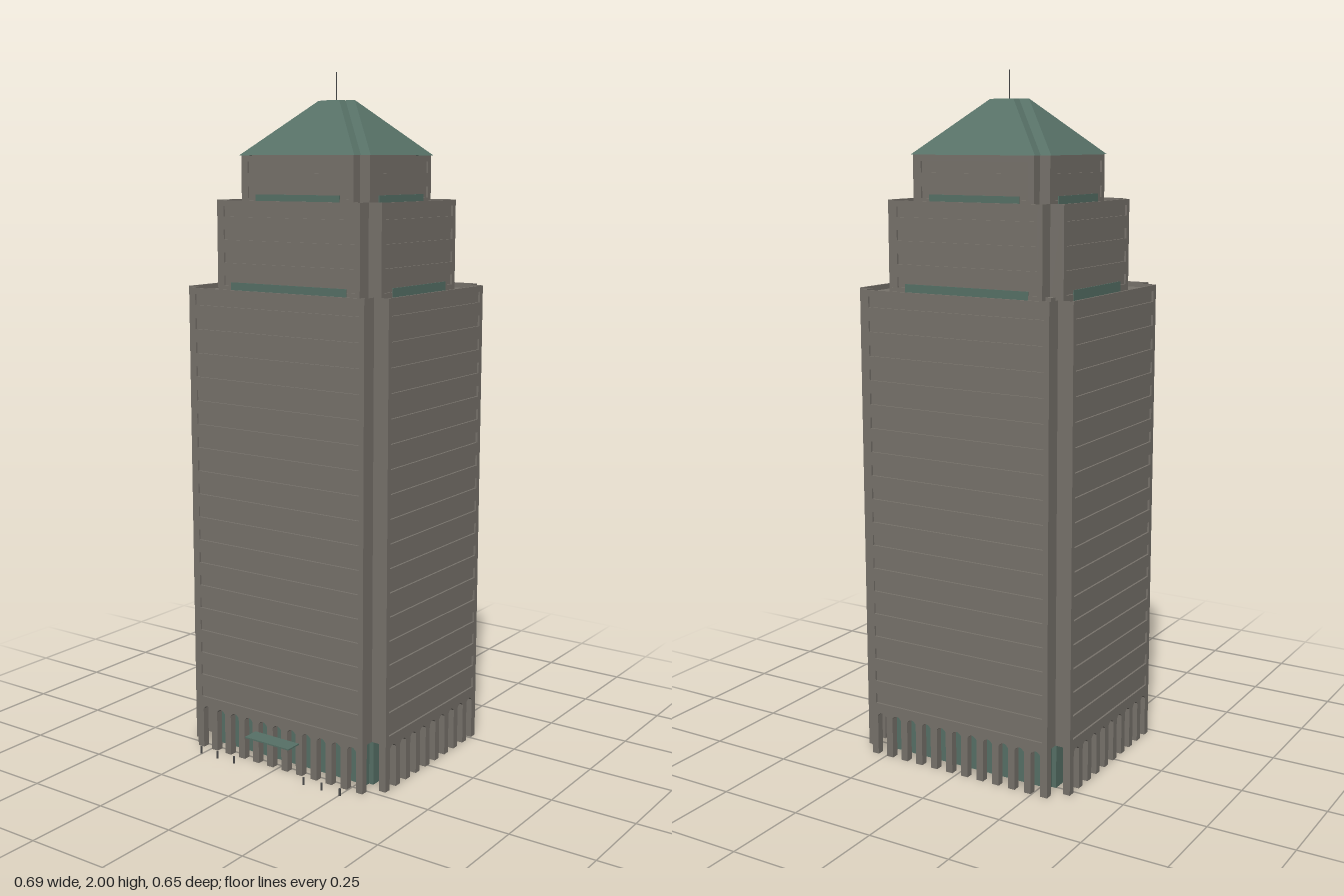
import * as THREE from 'three';

const stone = new THREE.MeshStandardMaterial({ color: 0x77726b, side: THREE.DoubleSide });
stone.name = 'grey stone';
const copper = new THREE.MeshStandardMaterial({ color: 0x567066, side: THREE.DoubleSide });
copper.name = 'green copper and glass';
const steel = new THREE.MeshStandardMaterial({ color: 0x4c4c4c });
steel.name = 'dark steel';

const SKIN = 0.006; // facade panel thickness

function add(parent, name, geometry, material, x = 0, y = 0, z = 0) {
  const mesh = new THREE.Mesh(geometry, material);
  mesh.name = name;
  mesh.position.set(x, y, z);
  parent.add(mesh);
  return mesh;
}

// Rectangle with a square notch at each corner, as [x, z] points
function plan(hx, hz, n) {
  const a = hx - n, b = hz - n;
  return [[-a, hz], [a, hz], [a, b], [hx, b], [hx, -b], [a, -b],
    [a, -hz], [-a, -hz], [-a, -b], [-hx, -b], [-hx, b], [-a, b]];
}

// Open wall between two plans with equal point counts
function loft(low, y0, high, y1) {
  const pos = [];
  low.forEach((p, i) => {
    const j = (i + 1) % low.length;
    const a = [p[0], y0, p[1]], b = [low[j][0], y0, low[j][1]];
    const c = [high[j][0], y1, high[j][1]], d = [high[i][0], y1, high[i][1]];
    pos.push(...a, ...b, ...c, ...a, ...c, ...d);
  });
  const g = new THREE.BufferGeometry();
  g.setAttribute('position', new THREE.Float32BufferAttribute(pos, 3));
  g.computeVertexNormals();
  return g;
}

function flat(points) {
  const shape = new THREE.Shape(points.map(([x, z]) => new THREE.Vector2(x, -z)));
  return new THREE.ShapeGeometry(shape).rotateX(-Math.PI / 2);
}

function extrude(shape, depth) {
  return new THREE.ExtrudeGeometry(shape, { depth, bevelEnabled: false, curveSegments: 6 });
}

// Calls make(side, halfWidth, distance) for front, left, back and right
function eachSide(parent, hx, hz, make) {
  ['front', 'left', 'back', 'right'].forEach((name, k) => {
    const side = new THREE.Group();
    side.name = name + 'Side';
    side.rotation.y = k * Math.PI / 2;
    parent.add(side);
    make(side, k % 2 ? hz : hx, k % 2 ? hx : hz);
  });
}

// Facade panel with a recessed window band on every floor
function facade(half, y0, y1, floors) {
  const s = new THREE.Shape();
  s.moveTo(-half, y0).lineTo(half, y0).lineTo(half, y1).lineTo(-half, y1).closePath();
  const pitch = (y1 - y0) / floors, w = half - 0.016;
  for (let i = 0; i < floors; i++) {
    const a = y0 + (i + 0.3) * pitch, b = a + pitch * 0.45;
    const hole = new THREE.Path();
    hole.moveTo(-w, a).lineTo(-w, b).lineTo(w, b).lineTo(w, a).closePath();
    s.holes.push(hole);
  }
  return extrude(s, SKIN);
}

// Row of columns joined by shallow arches
function colonnade(half, height, count) {
  const col = 0.022, pitch = (2 * half - col) / (count - 1);
  const s = new THREE.Shape();
  s.moveTo(-half, height).lineTo(-half, 0);
  for (let i = 0; i < count - 1; i++) {
    const x = -half + i * pitch + col, e = -half + (i + 1) * pitch;
    s.lineTo(x, 0).lineTo(x, 0.122);
    s.quadraticCurveTo((x + e) / 2, 0.142, e, 0.122);
    s.lineTo(e, 0);
  }
  s.lineTo(half, 0).lineTo(half, height).closePath();
  return extrude(s, col);
}

function tier(parent, name, { hx, hz, n, y0, y1, floors, parapet }) {
  const g = new THREE.Group();
  g.name = name;
  parent.add(g);
  const inner = plan(hx - SKIN, hz - SKIN, n - SKIN);
  add(g, 'wallCore', loft(inner, y0, inner, y1), stone);
  add(g, 'roofDeck', flat(inner), stone, 0, y1 - parapet, 0);
  eachSide(g, hx - n, hz - n, (side, half) => {
    const dist = half === hx - n ? hz : hx;
    add(side, 'facade', facade(half, y0, y1, floors), stone, 0, 0, dist - SKIN);
  });
  return g;
}

export function createModel() {
  const model = new THREE.Group();
  model.name = 'officeTower';
  const tower = new THREE.Group();
  tower.name = 'tower';
  tower.position.z = -0.025;
  model.add(tower);

  // Three stepped tiers
  tier(tower, 'mainShaft', { hx: 0.347, hz: 0.3, n: 0.047, y0: 0.14, y1: 1.392, floors: 18, parapet: 0.015 });
  tier(tower, 'middleTier', { hx: 0.285, hz: 0.237, n: 0.042, y0: 1.377, y1: 1.64, floors: 4, parapet: 0.015 });
  tier(tower, 'upperTier', { hx: 0.222, hz: 0.191, n: 0.032, y0: 1.625, y1: 1.766, floors: 2, parapet: 0.002 });

  // Glass strips at the foot of the upper tiers
  [[0.285, 0.237, 0.2, 0.14, 1.378, 1.408], [0.222, 0.191, 0.145, 0.115, 1.626, 1.657]]
    .forEach(([hx, hz, wx, wz, y0, y1]) => {
      eachSide(tower, wx, wz, (side, half) => {
        const dist = half === wx ? hz : hx;
        add(side, 'glassStrip', new THREE.BoxGeometry(2 * half, y1 - y0, 0.003), copper, 0, (y0 + y1) / 2, dist + 0.001);
      });
    });

  // Colonnade and lobby glass
  eachSide(tower, 0.3, 0.253, (side, half) => {
    const long = half === 0.3;
    add(side, 'colonnade', colonnade(half, 0.14, long ? 12 : 10), stone, 0, 0, (long ? 0.3 : 0.347) - 0.022);
  });
  const lobby = plan(0.29, 0.243, 0.014);
  add(tower, 'lobbyGlass', loft(lobby, 0, lobby, 0.14), copper);

  // Hipped roof with notched corners, open at the top
  add(tower, 'roof', loft(plan(0.227, 0.195, 0.032), 1.766, plan(0.064, 0.032, 0.032), 1.92), copper);
  add(tower, 'mast', new THREE.CylinderGeometry(0.0015, 0.0015, 0.236, 6), steel, 0, 1.882, 0);

  // Small housings on the back corners of the lower deck
  for (const s of [-1, 1]) {
    add(tower, 'roofHousing', new THREE.BoxGeometry(0.017, 0.016, 0.024), stone, s * 0.253, 1.385, -0.21);
  }

  // Entrance canopy and bollards
  add(model, 'canopy', new THREE.BoxGeometry(0.158, 0.004, 0.05), copper, 0, 0.095, 0.3);
  for (const s of [-1, 1]) {
    for (const x of [0.127, 0.19, 0.253]) {
      add(model, 'bollard', new THREE.CylinderGeometry(0.003, 0.003, 0.022, 8), steel, s * x, 0.011, 0.318);
    }
  }
  return model;
}
